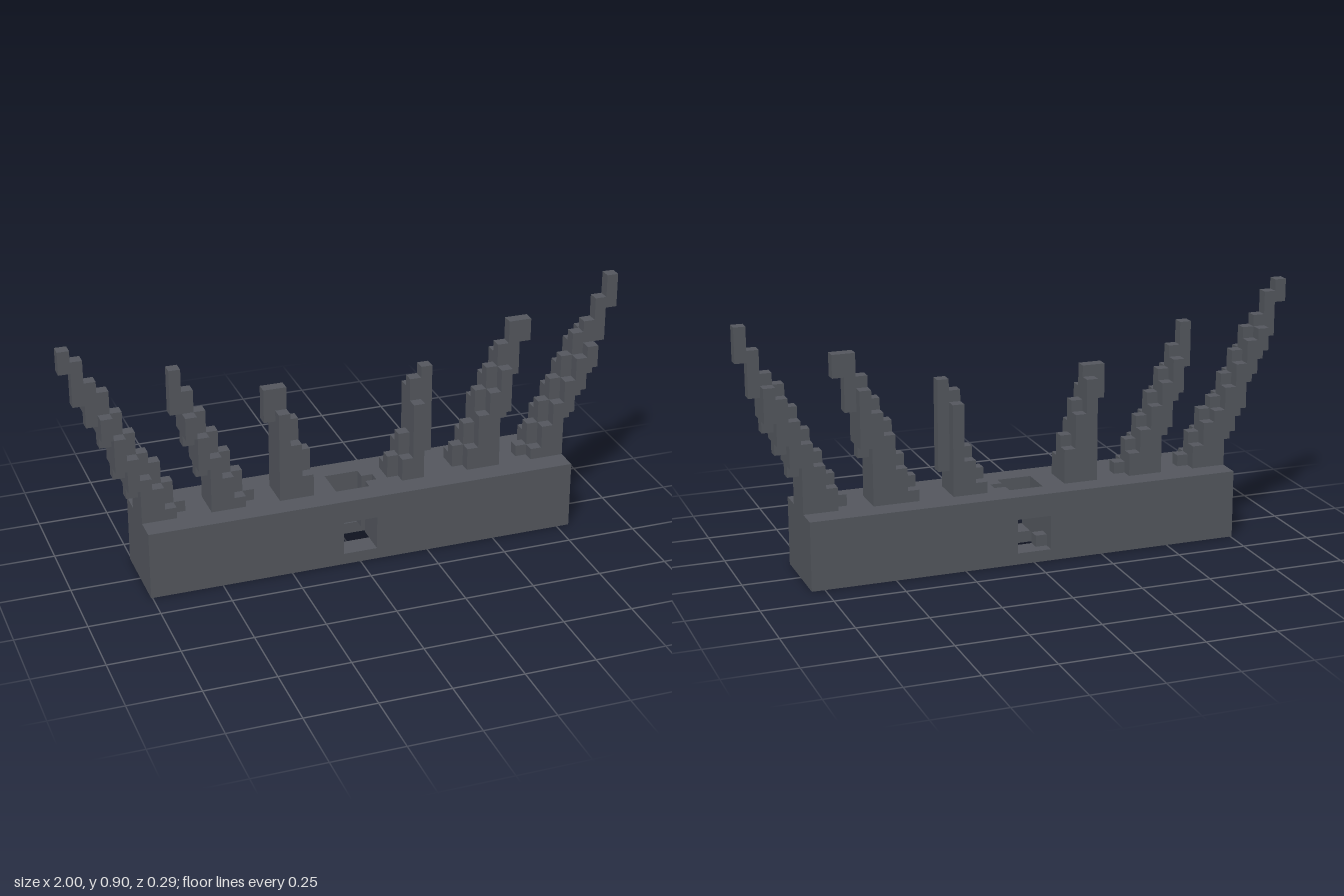
import * as THREE from 'three';
import { mergeGeometries } from 'three/addons/utils/BufferGeometryUtils.js';

const CELL = 2 / 49; // the model is 49 x 22 x 7 cells

// Box spanning cell bounds [x0,x1] [y0,y1] [z0,z1]
function block(x0, x1, y0, y1, z0, z1) {
  const g = new THREE.BoxGeometry((x1 - x0) * CELL, (y1 - y0) * CELL, (z1 - z0) * CELL);
  g.translate(((x0 + x1) / 2 - 24.5) * CELL, ((y0 + y1) / 2) * CELL, ((z0 + z1) / 2 - 3.5) * CELL);
  return g;
}

// Each spike: first column, outer columns without side ridges (before/after), [bottom, top] per column
const SPIKES = [
  { name: 'outerRightSpike', start: 0, before: 2, after: 0,
    columns: [[20, 22], [17, 21], [15, 19], [13, 18], [10, 16], [8, 14], [6, 12], [6, 11], [6, 9], [6, 7]] },
  { name: 'middleRightSpike', start: 9, before: 1, after: 0,
    columns: [[15, 19], [12, 17], [9, 15], [6, 13], [6, 11], [6, 9], [6, 7]] },
  { name: 'innerRightSpike', start: 17, before: 1, after: 0,
    columns: [[13, 16], [6, 16], [6, 13], [6, 10]] },
  { name: 'innerLeftSpike', start: 28, before: 0, after: 1,
    columns: [[6, 8], [6, 10], [6, 15], [8, 16]] },
  { name: 'middleLeftSpike', start: 34, before: 0, after: 2,
    columns: [[6, 8], [6, 10], [6, 13], [6, 15], [10, 17], [14, 19], [17, 19]] },
  { name: 'outerLeftSpike', start: 40, before: 0, after: 2,
    columns: [[6, 7], [6, 9], [6, 11], [6, 13], [9, 15], [11, 17], [13, 18], [16, 20], [19, 22]] },
];

function spikeGeometry({ start, before, after, columns }) {
  const parts = [];
  columns.forEach(([bottom, top], i) => {
    const x = start + i;
    parts.push(block(x, x + 1, bottom, top, 3, 4)); // core
    if (i < before || i >= columns.length - after) return;
    const low = bottom === 6 ? 6 : bottom + 1;
    if (top - 1 > low) parts.push(block(x, x + 1, low, top - 1, 2, 3)); // back ridge
    if (top - 2 > low && top < 19) parts.push(block(x, x + 1, low, top - 2, 4, 5)); // front ridge
  });
  return mergeGeometries(parts);
}

function baseGeometry() {
  const parts = [block(6, 22, 0, 6, 0, 7), block(27, 44, 0, 6, 0, 7)];
  // front and back walls around the horizontal tunnel
  for (const z of [0, 5]) {
    parts.push(
      block(22, 27, 0, 1, z, z + 2),
      block(22, 27, 4, 6, z, z + 2),
      block(22, 23, 1, 4, z, z + 2),
      block(26, 27, 1, 4, z, z + 2)
    );
  }
  // sides of the vertical shaft, which widens at the bottom
  parts.push(block(22, 23, 1, 6, 2, 5), block(26, 27, 1, 6, 2, 3), block(26, 27, 1, 6, 4, 5));
  // step inside the tunnel
  parts.push(block(23, 24, 1, 2, 1, 2));
  return mergeGeometries(parts);
}

export function createModel() {
  const group = new THREE.Group();
  const stone = new THREE.MeshStandardMaterial({ color: 0x55585f });
  stone.name = 'dark grey stone';
  const add = (name, geometry) => {
    const mesh = new THREE.Mesh(geometry, stone);
    mesh.name = name;
    group.add(mesh);
  };
  add('base', baseGeometry());
  for (const spike of SPIKES) add(spike.name, spikeGeometry(spike));
  return group;
}
